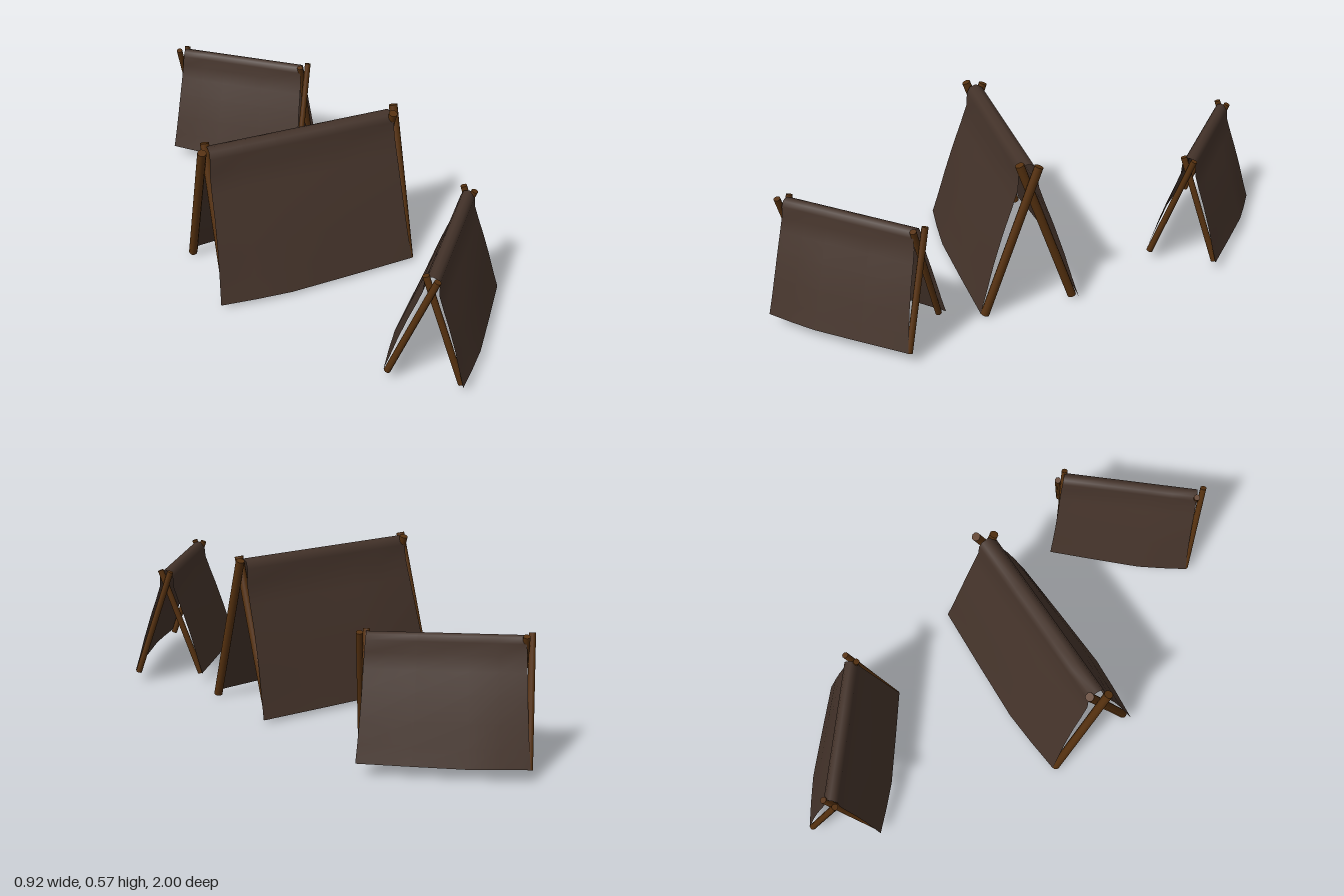
import * as THREE from 'three';

const wood = new THREE.MeshStandardMaterial({ color: 0x56310f });
wood.name = 'dark wood';
const canvas = new THREE.MeshStandardMaterial({ color: 0x44332a, side: THREE.DoubleSide });
canvas.name = 'brown canvas';

// Half cross-section from ridge to hem: [half width, height, half length]
const PROFILE = [
  [0, 0.567, 0.348], [0.022, 0.56, 0.348], [0.034, 0.535, 0.35], [0.037, 0.48, 0.354],
  [0.06, 0.41, 0.357], [0.092, 0.32, 0.36], [0.13, 0.2, 0.366], [0.158, 0.1, 0.373], [0.184, 0.013, 0.38],
];
// Columns along the ridge: [position, outward bulge]
const COLUMNS = [[-1, 0], [-0.65, 0.6], [-0.3, 1], [0.35, 0.55], [1, 0]];

// One sheet draped over the ridge, bulging between its ends
function canvasGeometry() {
  const n = PROFILE.length - 1;
  const cols = COLUMNS.length;
  const geo = new THREE.PlaneGeometry(1, 1, cols - 1, 2 * n);
  const pos = geo.attributes.position;
  for (let i = 0; i < pos.count; i++) {
    const row = Math.floor(i / cols) - n;
    const [along, bulge] = COLUMNS[i % cols];
    const k = Math.abs(row);
    const [w, h, len] = PROFILE[k];
    const out = 0.022 * bulge * Math.max(0, (k - 3) / (n - 3));
    pos.setXYZ(i, along * len, h, Math.sign(row) * (w + out));
  }
  geo.computeVertexNormals();
  return geo;
}

// Round pole between two points
function pole(a, b) {
  const dir = b.clone().sub(a);
  const mesh = new THREE.Mesh(new THREE.CylinderGeometry(0.016, 0.016, dir.length(), 10), wood);
  mesh.position.copy(a).add(b).multiplyScalar(0.5);
  mesh.quaternion.setFromUnitVectors(new THREE.Vector3(0, 1, 0), dir.normalize());
  mesh.name = 'pole';
  return mesh;
}

function createTent(name) {
  const tent = new THREE.Group();
  tent.name = name;
  const cloth = new THREE.Mesh(canvasGeometry(), canvas);
  cloth.name = 'canvasCover';
  tent.add(cloth);
  // Crossed poles at each end, side by side where they cross
  for (const end of [-1, 1]) {
    const frame = new THREE.Group();
    frame.name = end < 0 ? 'rightPoles' : 'leftPoles';
    for (const side of [-1, 1]) {
      const x = end * 0.362 + side * 0.014;
      frame.add(pole(new THREE.Vector3(x, 0.006, side * 0.168), new THREE.Vector3(x, 0.569, -side * 0.03)));
    }
    tent.add(frame);
  }
  return tent;
}

export function createModel() {
  const model = new THREE.Group();
  model.name = 'tentCamp';
  // [name, x, y, z, turn in degrees, size]
  const layout = [
    ['largeTent', -0.055, 0, 0.07, -12, 1],
    ['frontTent', 0.103, 0.035, 0.722, 36.8, 0.73],
    ['backTent', 0.17, 0.035, -0.7, -50.5, 0.73],
  ];
  for (const [name, x, y, z, turn, size] of layout) {
    const tent = createTent(name);
    tent.position.set(x, y, z);
    tent.rotation.y = THREE.MathUtils.degToRad(turn);
    tent.scale.setScalar(size);
    model.add(tent);
  }
  return model;
}
